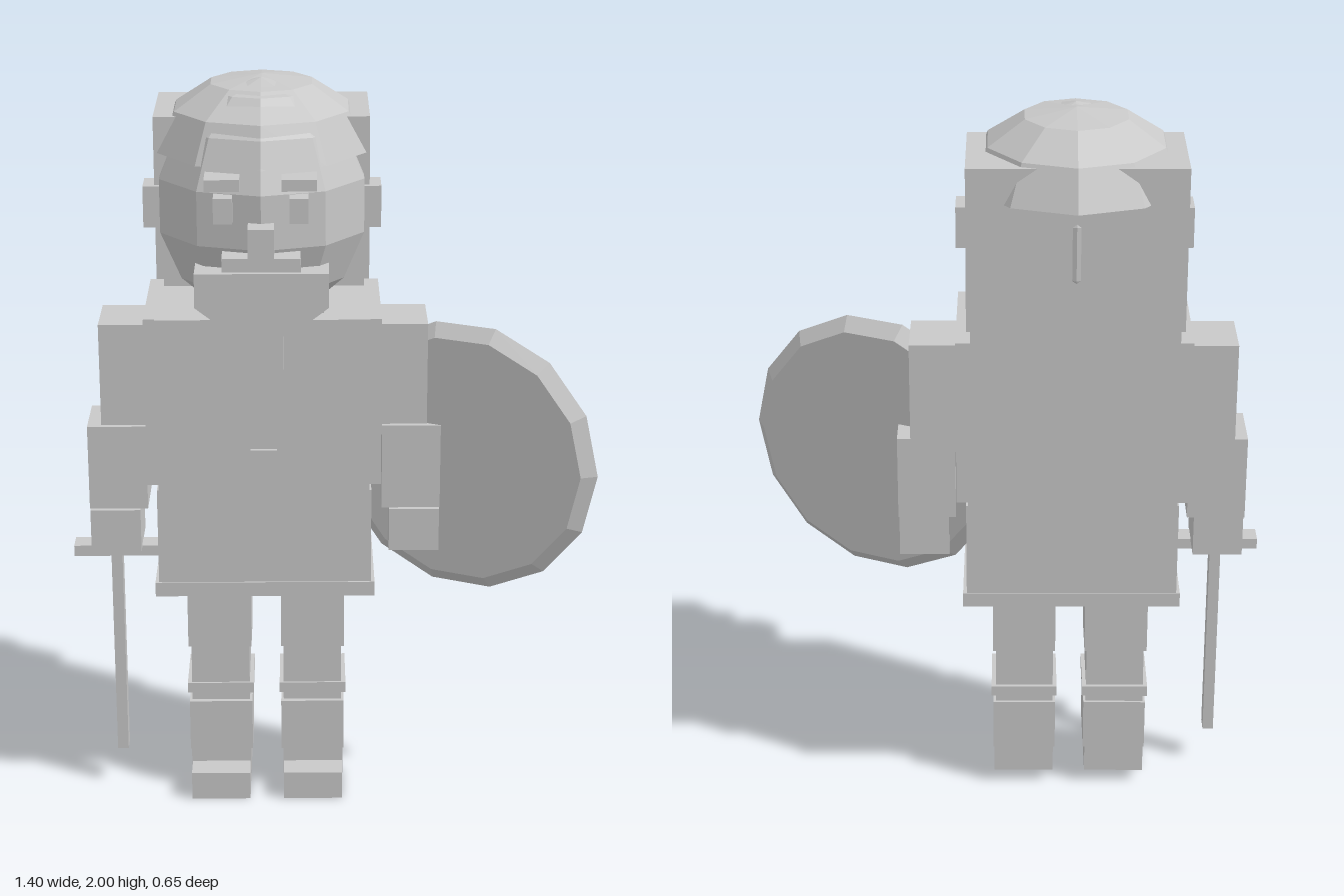
import * as THREE from 'three';

export function createModel() {
  const model = new THREE.Group();
  const stone = new THREE.MeshStandardMaterial({ color: 0xc8c8c8 });
  stone.name = 'plainGrey';
  stone.flatShading = true;

  // Everything but the shield is built around the figure's own centre line
  const figure = new THREE.Group();
  figure.name = 'figure';
  figure.position.x = -0.185;
  model.add(figure);

  const add = (name, geometry, parent = figure) => {
    const mesh = new THREE.Mesh(geometry, stone);
    mesh.name = name;
    parent.add(mesh);
    return mesh;
  };
  // Box given by its limits on each axis
  const box = (name, x0, x1, y0, y1, z0, z1) => {
    const mesh = add(name, new THREE.BoxGeometry(x1 - x0, y1 - y0, z1 - z0));
    mesh.position.set((x0 + x1) / 2, (y0 + y1) / 2, (z0 + z1) / 2);
    return mesh;
  };
  const mid = (name, half, ...rest) => box(name, -half, half, ...rest);
  const pair = (name, x0, x1, ...rest) => {
    box('left' + name, x0, x1, ...rest);
    box('right' + name, -x1, -x0, ...rest);
  };
  const profile = (points) => points.map(([x, y]) => new THREE.Vector2(x, y));

  // Faceted head
  const headShape = new THREE.SphereGeometry(1, 10, 7);
  headShape.rotateY(Math.PI / 10);
  headShape.scale(0.286, 0.32, 0.267);
  add('head', headShape).position.set(0, 1.68, 0.01);

  // Domed cap, closed underneath
  const dome = profile([[0, 1.81], [0.285, 1.81], [0.237, 1.915], [0.138, 1.98], [0, 2]]);
  add('cap', new THREE.LatheGeometry(dome, 10)).position.z = -0.038;

  // Hair block and the lock over the neck
  mid('hair', 0.28, 1.47, 1.905, -0.247, 0.05);
  mid('neckHair', 0.27, 1.26, 1.47, -0.235, -0.1);

  // Face
  pair('Ear', 0.2, 0.31, 1.615, 1.725, -0.025, 0.065);
  pair('Brow', 0.053, 0.142, 1.77, 1.8, 0.17, 0.295);
  pair('Eye', 0.072, 0.12, 1.685, 1.75, 0.17, 0.29);
  mid('nose', 0.033, 1.6, 1.68, 0.2, 0.327);
  mid('moustache', 0.1, 1.565, 1.6, 0.18, 0.31);

  // Beard tapering to a point in front of the chest
  const half = [[0.172, 1.55], [0.172, 1.46], [0.12, 1.42], [0.055, 1.42], [0.055, 1.285], [0.037, 1.275], [0.037, 1.225]];
  const outline = [...half, ...half.map(([x, y]) => [-x, y]).reverse()];
  const beard = new THREE.ExtrudeGeometry(new THREE.Shape(profile(outline)), { depth: 0.125, bevelEnabled: false });
  add('beard', beard).position.z = 0.15;

  // Torso, tunic skirt and hem
  mid('neck', 0.16, 1.38, 1.5, -0.1, 0.145);
  mid('chest', 0.28, 0.91, 1.405, -0.16, 0.203);
  mid('vest', 0.31, 0.945, 1.405, -0.167, 0.197);
  mid('skirt', 0.285, 0.64, 0.93, -0.157, 0.2);
  mid('hem', 0.295, 0.625, 0.665, -0.16, 0.204);
  mid('buckle', 0.035, 0.995, 1.048, 0.19, 0.213);

  // Arms
  pair('UpperArm', 0.3, 0.435, 1.05, 1.36, -0.075, 0.1);
  pair('Forearm', 0.315, 0.472, 0.845, 1.08, -0.055, 0.115);
  pair('Hand', 0.335, 0.47, 0.725, 0.845, -0.045, 0.128);

  // Legs
  pair('Thigh', 0.041, 0.215, 0.43, 0.64, -0.065, 0.11);
  pair('Shin', 0.047, 0.207, 0.26, 0.43, -0.062, 0.106);
  pair('BootCuff', 0.036, 0.219, 0.29, 0.32, -0.073, 0.112);
  pair('BootUpper', 0.04, 0.214, 0.12, 0.267, -0.07, 0.12);
  pair('BootLower', 0.045, 0.211, 0.04, 0.12, -0.067, 0.118);
  pair('Foot', 0.047, 0.209, 0, 0.08, 0.02, 0.19);

  // Sword hanging from the right hand
  box('swordGuard', -0.52, -0.29, 0.7, 0.73, 0.04, 0.1);
  box('swordBlade', -0.42, -0.39, 0.11, 0.7, 0.045, 0.095);

  // Fourteen-sided shield with a bevelled rim, turned towards the body
  const shieldShape = new THREE.LatheGeometry(
    profile([[0, -0.033], [0.341, -0.033], [0.378, 0.003], [0.341, 0.033], [0, 0.033]]), 14);
  shieldShape.rotateY(Math.PI / 2);
  shieldShape.rotateX(Math.PI / 2);
  const shield = add('shield', shieldShape, model);
  shield.position.set(0.35, 0.99, 0.105);
  shield.rotation.y = -0.43;

  return model;
}
